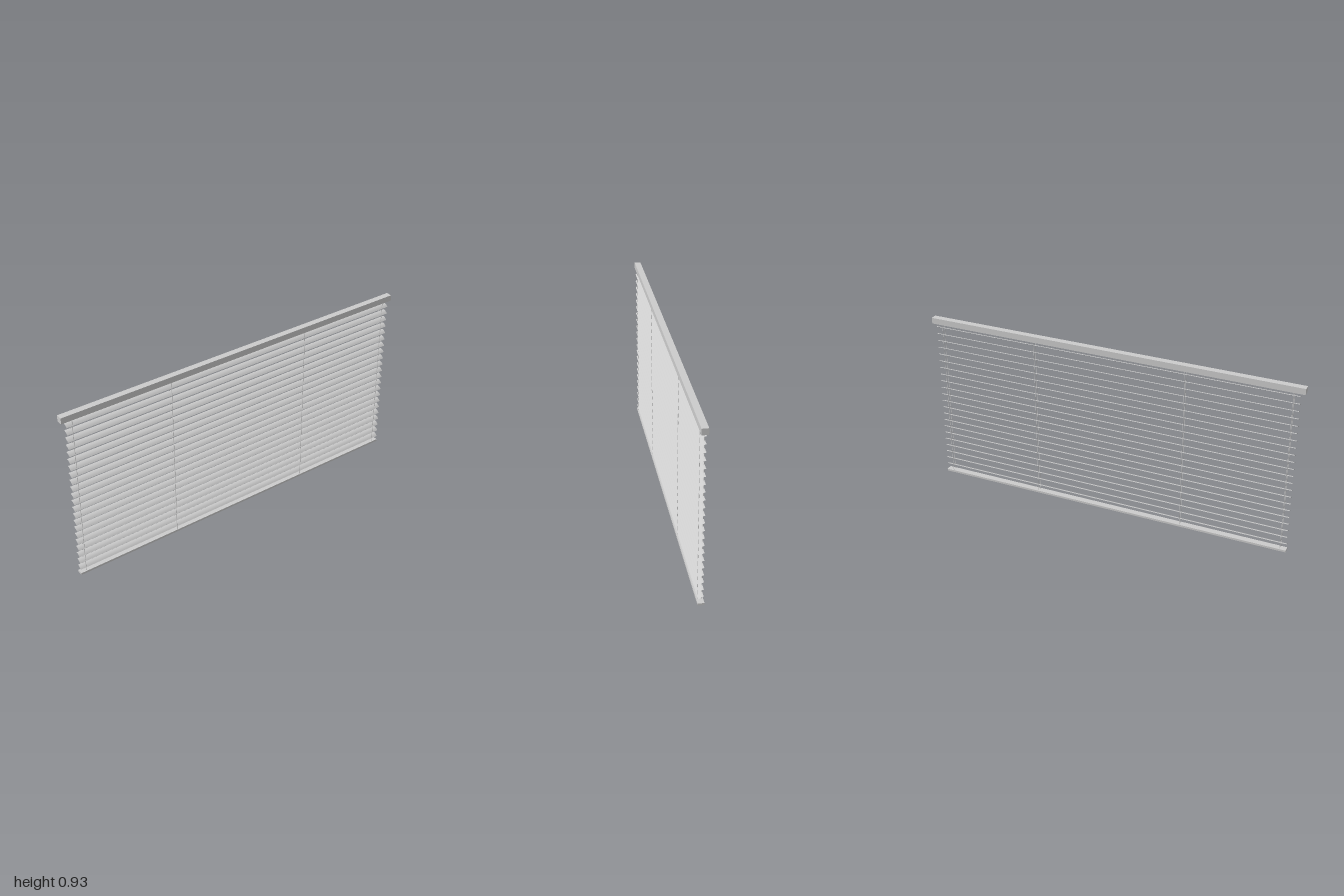
import * as THREE from 'three';

const grey = new THREE.MeshStandardMaterial({ color: 0xcccccc });
const thin = new THREE.MeshStandardMaterial({ color: 0xcccccc, side: THREE.DoubleSide });

const SLATS = 22, SLAT_X0 = -0.975, SLAT_X1 = 0.98;
const SLAT_LENGTH = SLAT_X1 - SLAT_X0, SLAT_MID = (SLAT_X0 + SLAT_X1) / 2;

// Curved slat: low at the front, arching up and flattening towards the back
function slatGeometry() {
  const section = new THREE.QuadraticBezierCurve(
    new THREE.Vector2(0.0155, -0.0075), new THREE.Vector2(0.004, 0.0065), new THREE.Vector2(-0.011, 0.007));
  const geometry = new THREE.PlaneGeometry(SLAT_LENGTH, 1, 1, 6);
  const pos = geometry.attributes.position;
  for (let i = 0; i < pos.count; i++) {
    const p = section.getPoint(pos.getY(i) + 0.5);
    pos.setXYZ(i, pos.getX(i), p.y, p.x);
  }
  geometry.computeVertexNormals();
  return geometry;
}

export function createModel() {
  const model = new THREE.Group();
  model.name = 'windowBlind';

  const add = (name, geometry, x, y, z, material = grey) => {
    const mesh = new THREE.Mesh(geometry, material);
    mesh.name = name;
    mesh.position.set(x, y, z);
    model.add(mesh);
  };

  // Rails
  add('headRail', new THREE.BoxGeometry(2, 0.032, 0.033), 0, 0.914, 0);
  add('bottomRail', new THREE.BoxGeometry(SLAT_LENGTH, 0.011, 0.032), SLAT_MID, 0.0055, 0.001);

  // Slats
  const slat = slatGeometry();
  for (let i = 0; i < SLATS; i++) {
    add('slat', slat, SLAT_MID, 0.04 + i * (0.8345 / (SLATS - 1)), 0, thin);
  }

  // Ladder cords in front and back pairs
  const bottom = 0.01, top = 0.9;
  const cord = new THREE.CylinderGeometry(0.0014, 0.0014, top - bottom, 6);
  for (const x of [-0.943, -0.404, 0.411, 0.943]) {
    add('frontCord', cord, x, (top + bottom) / 2, 0.0115);
    add('backCord', cord, x, (top + bottom) / 2, -0.0085);
  }
  return model;
}
